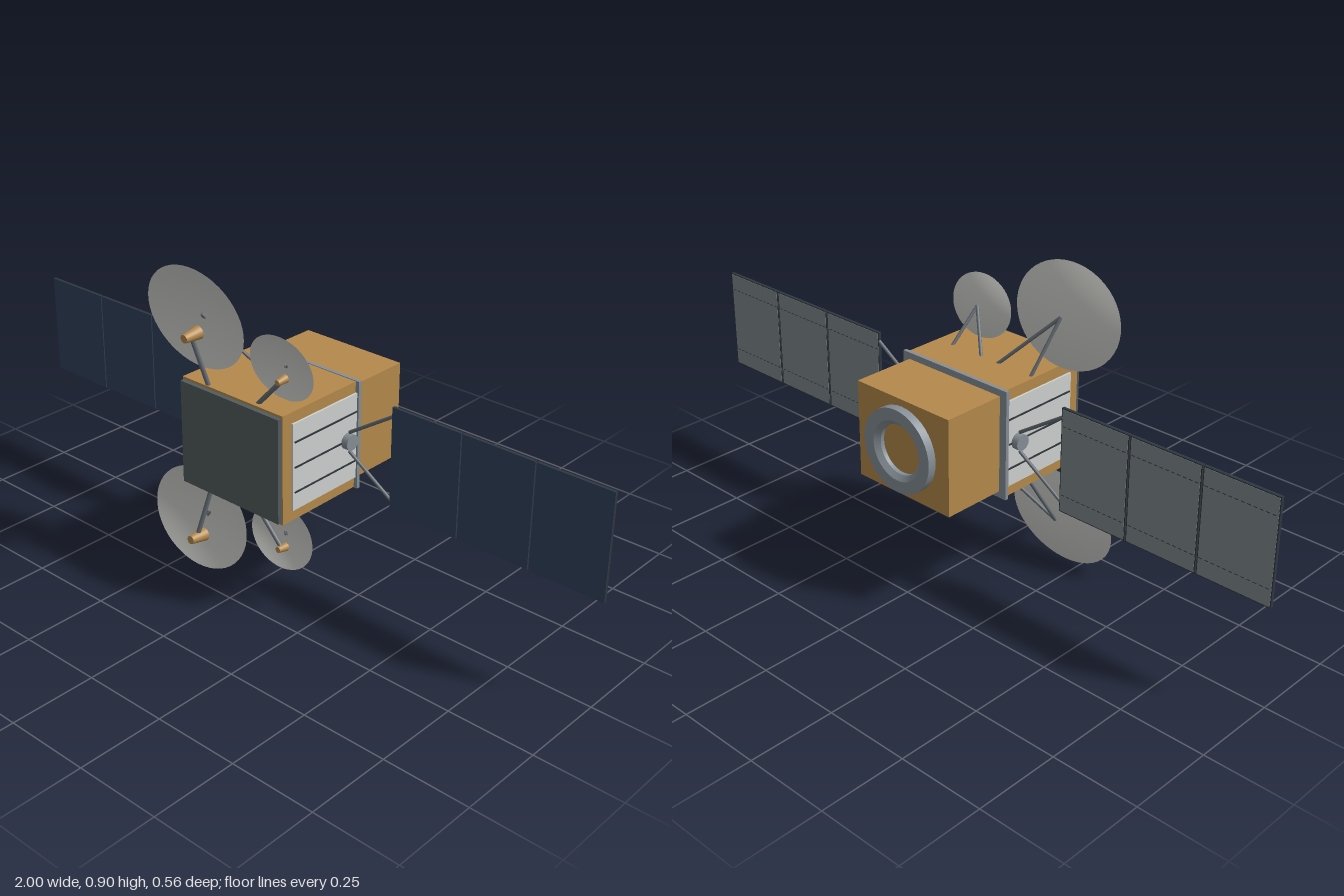
import * as THREE from 'three';

const mat = (name, color, side = THREE.FrontSide) => {
  const m = new THREE.MeshStandardMaterial({ color, side });
  m.name = name;
  return m;
};

export function createModel() {
  const gold = mat('gold foil', 0xb58a4c);
  const white = mat('dish white', 0xd0d0cc, THREE.DoubleSide);
  const radiatorWhite = mat('radiator white', 0xcfd2d0);
  const navy = mat('solar cell navy', 0x2f4059);
  const backGrey = mat('panel back grey', 0x7d868c);
  const metal = mat('metal grey', 0x868f97);
  const strutGrey = mat('strut grey', 0x666e74);
  const dark = mat('dark trim', 0x30363b);
  const slate = mat('front plate slate', 0x525b5e);

  const root = new THREE.Group();
  root.name = 'satellite';
  const CY = 0.4515; // height of the long axis
  const V = (x, y, z) => new THREE.Vector3(x, y, z);

  const add = (name, geo, material, parent = root) => {
    const m = new THREE.Mesh(geo, material);
    m.name = name;
    parent.add(m);
    return m;
  };
  // box given by its low and high limits on each axis
  const box = (name, x0, x1, y0, y1, z0, z1, material, parent) => {
    const m = add(name, new THREE.BoxGeometry(x1 - x0, y1 - y0, z1 - z0), material, parent);
    m.position.set((x0 + x1) / 2, (y0 + y1) / 2, (z0 + z1) / 2);
    return m;
  };
  // rod or cone between two points
  const rod = (name, a, b, ra, rb, material, parent, sides = 10) => {
    const d = b.clone().sub(a);
    const m = add(name, new THREE.CylinderGeometry(rb, ra, d.length(), sides), material, parent);
    m.position.copy(a).addScaledVector(d, 0.5);
    m.quaternion.setFromUnitVectors(V(0, 1, 0), d.normalize());
    return m;
  };

  // Bus
  box('frontBody', -0.18, 0.18, CY - 0.158, CY + 0.158, -0.055, 0.23, gold);
  box('rearBody', -0.168, 0.168, CY - 0.141, CY + 0.141, -0.255, -0.06, gold);
  box('collar', -0.191, 0.191, CY - 0.16, CY + 0.16, -0.065, -0.054, metal);
  box('frontPlate', -0.176, 0.176, CY - 0.151, CY + 0.151, 0.229, 0.243, slate);

  // Docking ring with a bevelled bore
  const ringProfile = [[0.072, 0], [0.072, 0.012], [0.086, 0.025], [0.121, 0.025], [0.121, 0]];
  const ringPoints = [];
  ringProfile.forEach((p, i) => {
    if (i === 0) return;
    // two points per segment keep the edges sharp
    const q = ringProfile[i - 1];
    ringPoints.push([q, p]);
  });
  const ring = new THREE.Group();
  ring.name = 'rearRing';
  ring.position.set(0, CY, -0.255);
  ring.rotation.x = -Math.PI / 2;
  root.add(ring);
  const ringMetal = mat('ring grey', 0x868f97, THREE.DoubleSide);
  for (const seg of ringPoints) {
    add('ringSurface', new THREE.LatheGeometry(seg.map(p => new THREE.Vector2(...p)), 40), ringMetal, ring);
  }

  // Radiators and solar wings, mirrored left and right
  const wingZ = -0.015;
  for (const s of [1, -1]) {
    const side = s > 0 ? 'left' : 'right';
    const span = (a, b) => [Math.min(s * a, s * b), Math.max(s * a, s * b)];

    box(side + 'Radiator', ...span(0.178, 0.186), CY - 0.126, CY + 0.126, -0.054, 0.197, radiatorWhite);
    for (const dy of [-0.073, 0, 0.073]) {
      box(side + 'RadiatorRib', ...span(0.185, 0.189), CY + dy - 0.002, CY + dy + 0.002, -0.053, 0.191, dark);
    }

    const wing = new THREE.Group();
    wing.name = side + 'Wing';
    root.add(wing);
    rod('wingHub', V(s * 0.18, CY, wingZ), V(s * 0.206, CY, wingZ), 0.023, 0.023, metal, wing, 16);
    for (const t of [1, -1]) {
      rod('yokeArm', V(s * 0.195, CY + t * 0.028, wingZ), V(s * 0.342, CY + t * 0.124, wingZ),
        0.005, 0.005, strutGrey, wing);
    }
    for (let i = 0; i < 3; i++) {
      const x0 = 0.34 + i * 0.22 + (i ? 0.002 : 0);
      const x1 = 0.34 + (i + 1) * 0.22 - (i < 2 ? 0.002 : 0);
      box('panelFrame', ...span(x0, x1), CY - 0.151, CY + 0.151, wingZ - 0.004, wingZ + 0.003, dark, wing);
      box('solarCells', ...span(x0, x1), CY - 0.151, CY + 0.151, wingZ + 0.003, wingZ + 0.005, navy, wing);
      box('panelBack', ...span(x0 + 0.003, x1 - 0.003), CY - 0.148, CY + 0.148, wingZ - 0.005, wingZ - 0.004, backGrey, wing);
      // dashed seams on the back
      for (const t of [1, -1]) {
        for (let k = 0; k < 12; k++) {
          const d = x0 + 0.006 + k * 0.0175;
          box('backSeam', ...span(d, d + 0.01), CY + t * 0.1 - 0.001, CY + t * 0.1 + 0.001,
            wingZ - 0.0055, wingZ - 0.005, dark, wing);
        }
      }
    }
  }

  // Dish antennas with V struts and offset feeds, mirrored above and below
  const dishes = [
    { name: 'large', x: -0.192, dy: 0.3035, z: 0.168, rx: 0.179, ry: 0.147, depth: 0.027, feet: [-0.165, -0.042],
      armFoot: [-0.092, 0.155, 0.221], armTop: [-0.117, 0.292, 0.252], feed: [-0.117, 0.301], feedZ: [0.228, 0.281], feedR: [0.019, 0.012] },
    { name: 'small', x: 0.112, dy: 0.2475, z: 0.161, rx: 0.11, ry: 0.0915, depth: 0.019, feet: [0.01, 0.125],
      armFoot: [0.078, 0.155, 0.212], armTop: [0.158, 0.242, 0.211], feed: [0.158, 0.2445], feedZ: [0.195, 0.226], feedR: [0.012, 0.008] },
  ];
  const tilt = 0.113;
  const bowl = [];
  for (let i = 0; i <= 10; i++) bowl.push(new THREE.Vector2(i / 10, (i / 10) ** 2 - 1));

  for (const s of [1, -1]) {
    for (const d of dishes) {
      const g = new THREE.Group();
      g.name = d.name + (s > 0 ? 'Upper' : 'Lower') + 'Antenna';
      root.add(g);
      const at = (x, dy, z) => V(x, CY + s * dy, z);

      const geo = new THREE.LatheGeometry(bowl, 48);
      geo.scale(d.rx, d.depth, d.ry);
      geo.rotateX(Math.PI / 2 + s * tilt);
      add('dish', geo, white, g).position.copy(at(d.x, d.dy, d.z));

      const apex = at(d.x, d.dy + 0.003, d.z - d.depth + 0.001);
      for (const fx of d.feet) {
        rod('dishStrut', at(fx, 0.15, 0.053), apex, 0.005, 0.005, strutGrey, g);
      }
      rod('feedArm', at(...d.armFoot), at(...d.armTop), 0.0065, 0.0065, strutGrey, g);
      const [fx, fy] = d.feed;
      rod('feedHorn', at(fx, fy + 0.001, d.feedZ[0]), at(fx, fy - 0.002, d.feedZ[1]),
        d.feedR[0], d.feedR[1], gold, g, 20);
    }
  }
  return root;
}
